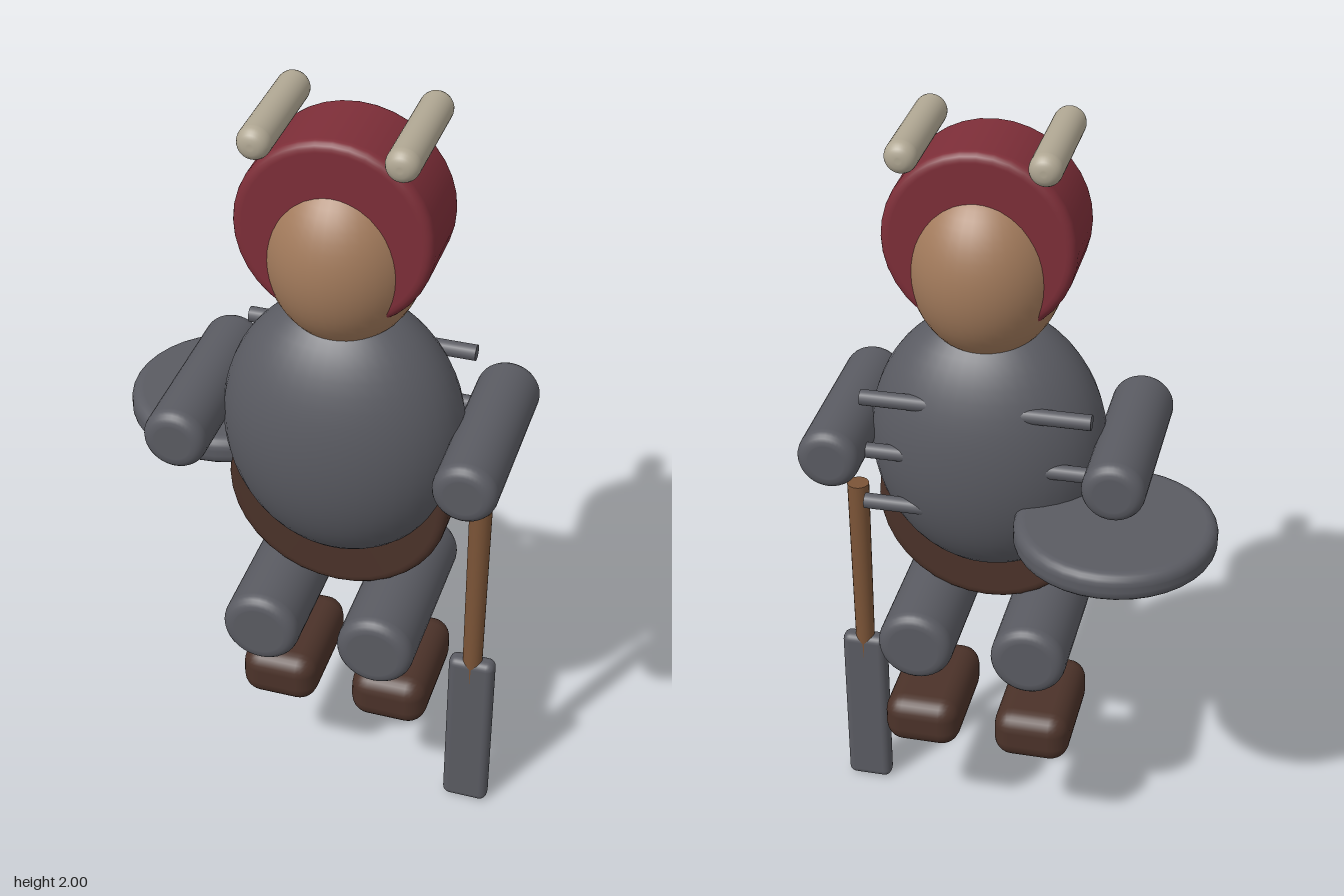
import * as THREE from 'three';
import { RoundedBoxGeometry } from 'three/addons/geometries/RoundedBoxGeometry.js';

const CX = 0.087; // body axis in x
const CZ = 0.093; // body axis in z

const mat = (color) => new THREE.MeshStandardMaterial({ color });

// Cylinder with rounded rims, standing on the y axis
function roundedCylinder(r, length, bevel) {
  const h = length / 2;
  const pts = [new THREE.Vector2(0, -h), new THREE.Vector2(r - bevel - 0.003, -h)];
  for (const end of [-1, 1]) {
    for (let i = 0; i <= 5; i++) {
      const a = (end < 0 ? i - 5 : i) * Math.PI / 10;
      pts.push(new THREE.Vector2(r - bevel + bevel * Math.cos(a), end * (h - bevel) + bevel * Math.sin(a)));
    }
    // keep the wall shading straight between the rims
    if (end < 0) pts.push(new THREE.Vector2(r, -h + bevel + 0.003), new THREE.Vector2(r, h - bevel - 0.003));
  }
  pts.push(new THREE.Vector2(r - bevel - 0.003, h), new THREE.Vector2(0, h));
  return new THREE.LatheGeometry(pts, 36);
}

const alongZ = (geometry) => geometry.rotateX(Math.PI / 2);

export function createModel() {
  const group = new THREE.Group();
  const steel = mat(0x5a5b62);
  const cloth = mat(0x7d2e38);
  const skin = mat(0xa37b5c);
  const leather = mat(0x4b3229);
  const wood = mat(0x7b5437);
  const horn = mat(0xb0a793);

  function add(name, geometry, material, x, y, z) {
    const mesh = new THREE.Mesh(geometry, material);
    mesh.name = name;
    mesh.position.set(x, y, z);
    group.add(mesh);
    return mesh;
  }

  // Torso and head are stretched spheres
  add('torso', new THREE.SphereGeometry(1, 40, 28).scale(0.3, 0.36, 0.21), steel, CX, 1.16, CZ);
  add('head', new THREE.SphereGeometry(1, 40, 28).scale(0.193, 0.235, 0.193), skin, CX, 1.65, 0.087);

  // Thick discs: hood around the head, skirt under the torso
  add('hood', alongZ(roundedCylinder(0.236, 0.226, 0.022)), cloth, CX, 1.735, CZ);
  add('skirt', alongZ(roundedCylinder(0.28, 0.12, 0.022)), leather, CX, 0.98, 0.096);

  // Paired parts
  for (const [side, s] of [['left', 1], ['right', -1]]) {
    add(side + 'Horn', alongZ(roundedCylinder(0.04, 0.333, 0.03)), horn, CX + s * 0.168, 1.96, 0.091);
    add(side + 'Arm', alongZ(roundedCylinder(0.079, 0.48, 0.03)), steel, CX + s * 0.355, 1.178, 0.09);
    add(side + 'Leg', alongZ(roundedCylinder(0.098, 0.48, 0.03)), steel, CX + s * 0.148, 0.64, 0.09);
    add(side + 'Foot', new RoundedBoxGeometry(0.2, 0.14, 0.32, 3, 0.05), leather, CX + s * 0.148, 0.36, 0.042);
  }

  // Rods running across the back
  for (const y of [1.32, 1.17, 1.02]) {
    add('backRod', new THREE.CylinderGeometry(0.02, 0.02, 0.574, 16).rotateZ(Math.PI / 2), steel, CX, y, -0.055);
  }

  // Flat round shield beside the right arm
  add('shield', roundedCylinder(0.251, 0.075, 0.027), steel, -0.27, 1.037, -0.086);

  // Weapon pointing down at the left side
  add('weaponHandle', new THREE.CylinderGeometry(0.0285, 0.0243, 0.67, 20), wood, 0.438, 0.635, 0.096);
  add('weaponBlade', new RoundedBoxGeometry(0.12, 0.485, 0.05, 3, 0.02), steel, 0.438, 0.2425, 0.096);

  return group;
}
